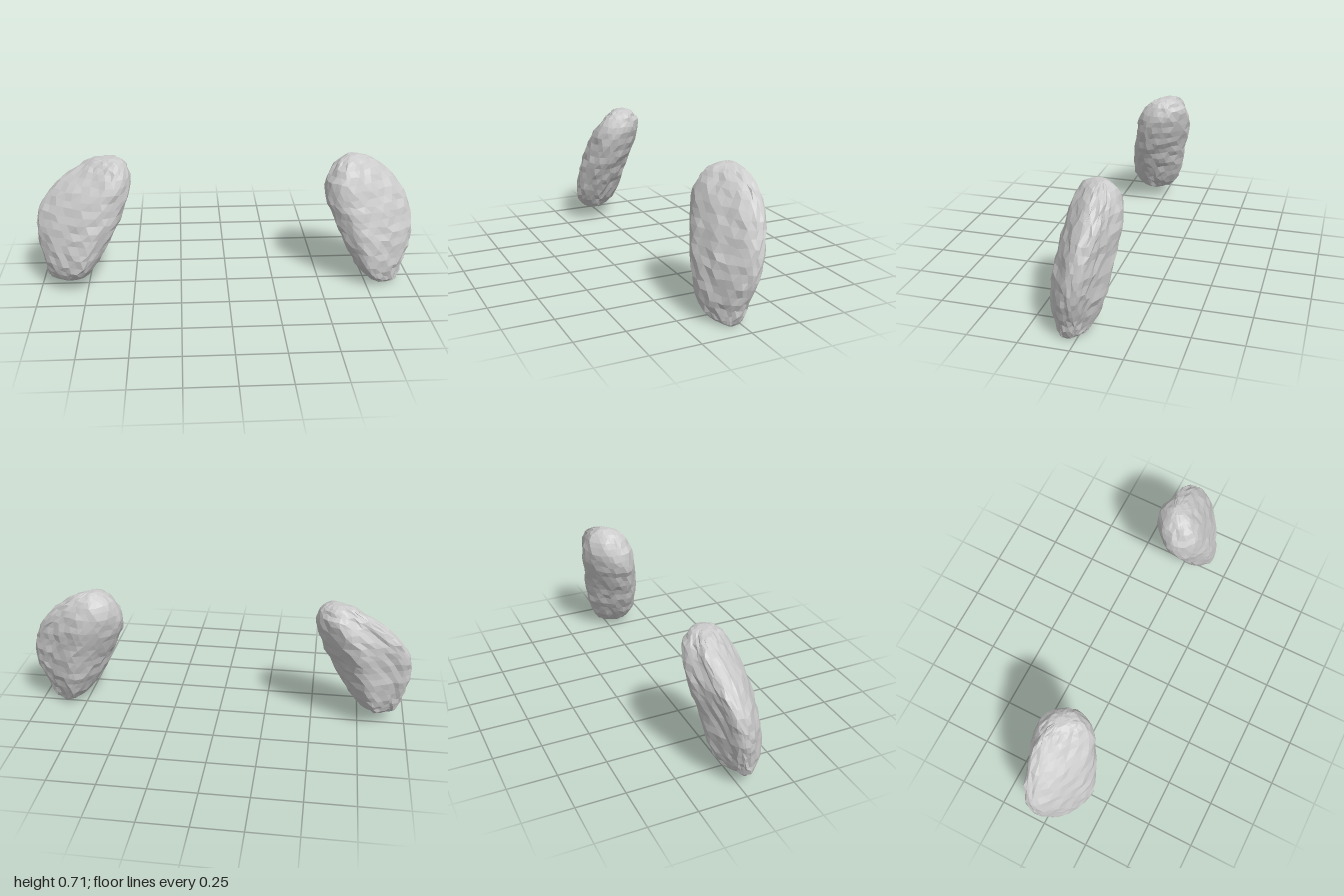
import * as THREE from 'three';

const RING = 30, ROWS = 24;

// Small seeded generator for the chipped surface
function seeded(seed) {
  let s = seed;
  return () => {
    s = (s * 16807) % 2147483647;
    return s / 2147483647 - 0.5;
  };
}

// Wedge-shaped section: blunt outer edge, front ridge, inner face, back ridge
function section([y, inner, outer, back, front]) {
  const { lerp, clamp } = THREE.MathUtils;
  const w = outer - inner;
  const edge = clamp(0.045 - 0.2 * y, lerp(back, front, 0.3), lerp(back, front, 0.7));
  const blunt = Math.min(0.028, (front - back) * 0.15);
  const low = clamp((0.65 - y) / 0.35, 0, 1); // the inner face turns backwards lower down
  return [
    [1, edge - blunt],
    [1, edge + blunt],
    [0.68, lerp(edge, front, lerp(0.66, 0.76, low))],
    [0.24, front],
    [0.01, lerp(back, front, 0.74)],
    [lerp(0.03, 0.08, low), lerp(back, front, 0.36)],
    [0.41, back],
    [0.77, lerp(edge, back, 0.58)],
  ].map(([u, z]) => new THREE.Vector3(inner + u * w, y, z));
}

// Loft the sections into a faceted stone; side = 1 or -1 picks the x side
function createStone(levels, side, seed) {
  const rand = seeded(seed);
  const sections = levels.map(section);
  const columns = sections[0].map((_, k) =>
    new THREE.CatmullRomCurve3(sections.map((s) => s[k]), false, 'centripetal'));
  const pos = [], index = [];

  for (let r = 0; r <= ROWS; r++) {
    const ring = new THREE.CatmullRomCurve3(
      columns.map((c) => c.getPoint(r / ROWS)), true, 'centripetal');
    const rough = 0.012 * Math.min(1, 0.1 + 2 * Math.sin(Math.PI * r / ROWS));
    for (let i = 0; i < RING; i++) {
      const p = ring.getPoint((i + (r % 2) * 0.5) / RING);
      pos.push(side * (p.x + rand() * rough), Math.max(0, p.y + rand() * rough), p.z + rand() * rough);
    }
  }

  const tri = (a, b, c) => (side > 0 ? index.push(a, b, c) : index.push(a, c, b));
  for (let r = 0; r < ROWS; r++) {
    for (let i = 0; i < RING; i++) {
      const n = (i + 1) % RING;
      const a = r * RING + i, b = r * RING + n, c = a + RING, d = b + RING;
      if (r % 2) { tri(a, d, b); tri(a, c, d); }
      else { tri(a, c, b); tri(b, c, d); }
    }
  }

  // Close both ends with fans
  for (const r of [0, ROWS]) {
    const center = new THREE.Vector3();
    for (let i = 0; i < RING; i++) {
      center.add(new THREE.Vector3().fromArray(pos, (r * RING + i) * 3));
    }
    center.divideScalar(RING);
    const m = pos.length / 3;
    pos.push(center.x, center.y, center.z);
    for (let i = 0; i < RING; i++) {
      const a = r * RING + i, b = r * RING + ((i + 1) % RING);
      if (r === 0) tri(m, a, b);
      else tri(m, b, a);
    }
  }

  const indexed = new THREE.BufferGeometry();
  indexed.setAttribute('position', new THREE.Float32BufferAttribute(pos, 3));
  indexed.setIndex(index);
  const geometry = indexed.toNonIndexed();
  geometry.computeVertexNormals();
  return geometry;
}

export function createModel() {
  const group = new THREE.Group();
  const material = new THREE.MeshStandardMaterial({ color: 0xcccccc, flatShading: true });

  // Each level: height, inner x, outer x, back z, front z
  const leftLevels = [
    [0.002, 0.84, 0.905, 0.0, 0.075],
    [0.025, 0.78, 0.925, -0.035, 0.115],
    [0.1, 0.705, 0.945, -0.08, 0.153],
    [0.2, 0.647, 0.98, -0.115, 0.16],
    [0.3, 0.6, 0.995, -0.13, 0.152],
    [0.4, 0.555, 0.98, -0.145, 0.135],
    [0.5, 0.522, 0.94, -0.167, 0.118],
    [0.6, 0.538, 0.86, -0.157, 0.085],
    [0.67, 0.59, 0.765, -0.12, 0.04],
    [0.7, 0.64, 0.69, -0.075, -0.02],
  ];
  const rightLevels = [
    [0.06, 0.82, 0.92, 0.0, 0.075],
    [0.085, 0.755, 0.945, -0.045, 0.123],
    [0.15, 0.7, 0.965, -0.09, 0.165],
    [0.25, 0.64, 0.987, -0.12, 0.17],
    [0.35, 0.585, 0.995, -0.135, 0.157],
    [0.45, 0.54, 0.975, -0.157, 0.137],
    [0.55, 0.508, 0.9, -0.173, 0.115],
    [0.64, 0.512, 0.785, -0.157, 0.07],
    [0.69, 0.54, 0.7, -0.12, 0.022],
    [0.707, 0.58, 0.64, -0.08, -0.02],
  ];

  const stones = [
    ['leftStone', leftLevels, 1, 71],
    ['rightStone', rightLevels, -1, 1309],
  ];
  for (const [name, levels, side, seed] of stones) {
    const mesh = new THREE.Mesh(createStone(levels, side, seed), material);
    mesh.name = name;
    group.add(mesh);
  }
  return group;
}
